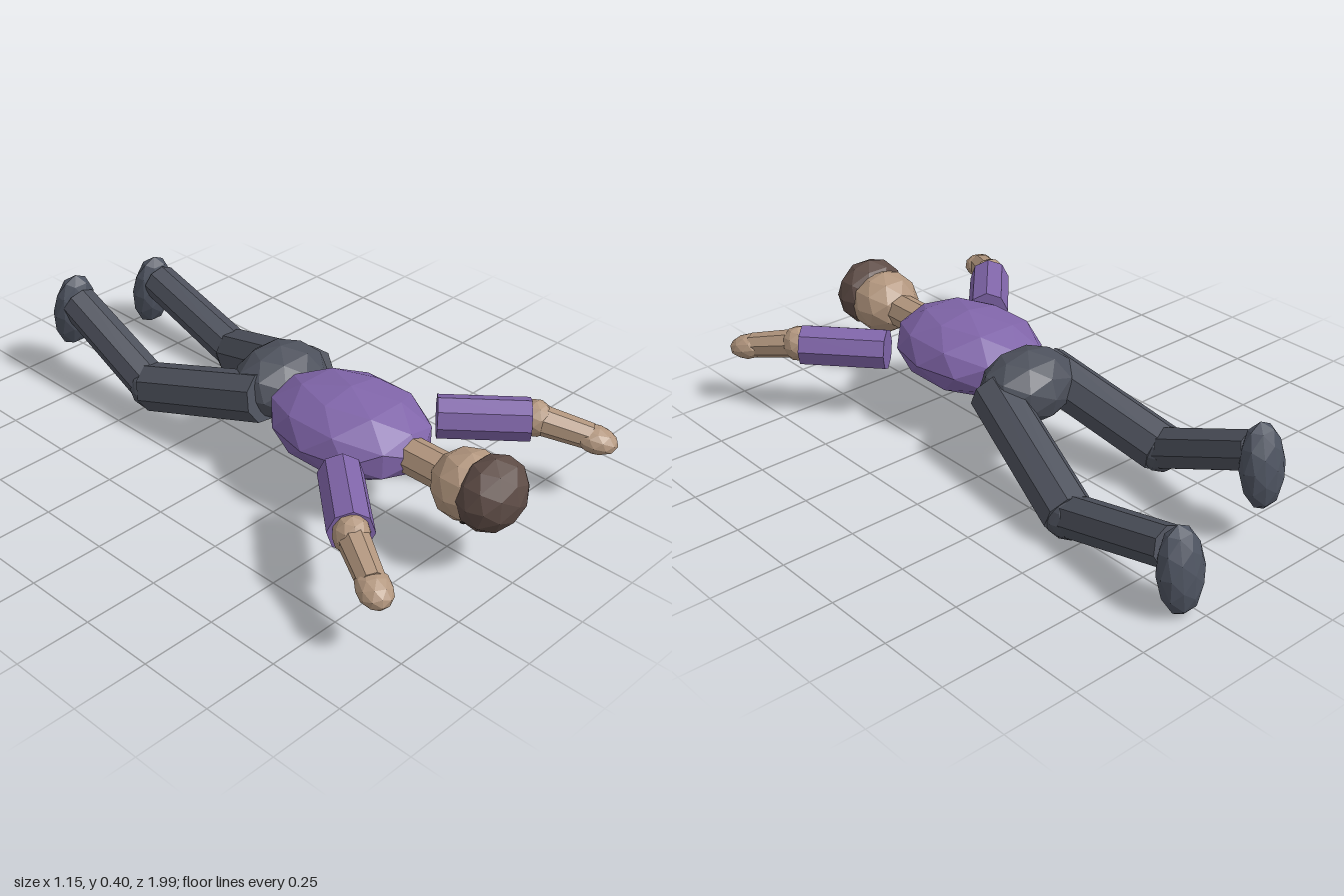
import * as THREE from 'three';

const mat = (name, color) => {
  const m = new THREE.MeshStandardMaterial({ color, flatShading: true });
  m.name = name;
  return m;
};
const V = (x, y, z) => new THREE.Vector3(x, y, z);
const UP = V(0, 1, 0);

export function createModel() {
  const model = new THREE.Group();
  model.name = 'proneFigure';
  const shirt = mat('purple shirt', 0x8065a9);
  const skin = mat('skin', 0xb2967e);
  const hair = mat('brown hair', 0x5e4c46);
  const trousers = mat('grey trousers', 0x4d515c);
  const shoes = mat('grey shoes', 0x4e5461);
  const eyes = mat('dark eyes', 0x2a2422);

  // Faceted ellipsoid
  const blob = (name, m, pos, rx, ry, rz, parent = model, detail = 1) => {
    const mesh = new THREE.Mesh(new THREE.IcosahedronGeometry(1, detail).scale(rx, ry, rz), m);
    mesh.name = name;
    mesh.position.copy(pos);
    parent.add(mesh);
    return mesh;
  };
  // Eight-sided limb from a to b
  const limb = (name, m, a, b, ra, rb, parent = model) => {
    const dir = b.clone().sub(a);
    const geo = new THREE.CylinderGeometry(rb, ra, dir.length(), 8);
    const mesh = new THREE.Mesh(geo, m);
    mesh.name = name;
    mesh.position.copy(a).lerp(b, 0.5);
    mesh.quaternion.setFromUnitVectors(UP, dir.normalize());
    parent.add(mesh);
    return mesh;
  };

  // Trunk
  blob('torso', shirt, V(0, 0.27, 0.34), 0.225, 0.136, 0.29);
  blob('pelvis', trousers, V(0.035, 0.27, 0), 0.175, 0.125, 0.138);

  // Head, lying face down
  limb('neck', skin, V(0, 0.27, 0.58), V(0, 0.27, 0.74), 0.06, 0.06);
  blob('head', skin, V(0, 0.272, 0.815), 0.12, 0.112, 0.12);
  blob('hair', hair, V(0, 0.284, 0.9), 0.127, 0.12, 0.098);
  for (const s of [-1, 1]) blob('eye', eyes, V(s * 0.043, 0.176, 0.835), 0.013, 0.012, 0.013);

  // Arms, mirrored
  for (const s of [-1, 1]) {
    const arm = new THREE.Group();
    arm.name = s > 0 ? 'leftArm' : 'rightArm';
    model.add(arm);
    const elbow = V(s * 0.425, 0.275, 0.735);
    const wrist = V(s * 0.51, 0.238, 0.89);
    limb('upperArm', shirt, V(s * 0.222, 0.27, 0.505), V(s * 0.415, 0.27, 0.725), 0.071, 0.071, arm);
    blob('elbow', skin, elbow, 0.058, 0.062, 0.055, arm);
    limb('forearm', skin, elbow, wrist, 0.05, 0.043, arm);
    const hand = blob('hand', skin, V(s * 0.517, 0.231, 0.905), 0.055, 0.043, 0.072, arm);
    hand.quaternion.setFromUnitVectors(V(0, 0, 1), wrist.clone().sub(elbow).normalize());
  }

  // Legs, each with its own pose
  const legs = [
    ['rightLeg', V(-0.085, 0.27, 0.04), V(-0.158, 0.142, -0.42), V(-0.148, 0.31, -0.81), V(-0.145, 0.272, -0.84)],
    ['leftLeg', V(0.147, 0.265, 0.035), V(0.268, 0.088, -0.45), V(0.29, 0.205, -0.89), V(0.293, 0.152, -0.934)],
  ];
  for (const [name, hip, knee, ankle, sole] of legs) {
    const leg = new THREE.Group();
    leg.name = name;
    model.add(leg);
    limb('thigh', trousers, hip, knee, 0.084, 0.084, leg);
    blob('knee', trousers, knee, 0.078, 0.078, 0.075, leg);
    limb('shin', trousers, knee, ankle, 0.07, 0.066, leg);
    const foot = blob('foot', shoes, sole, 0.081, 0.143, 0.06, leg);
    foot.rotation.x = 0.13;
  }
  return model;
}
